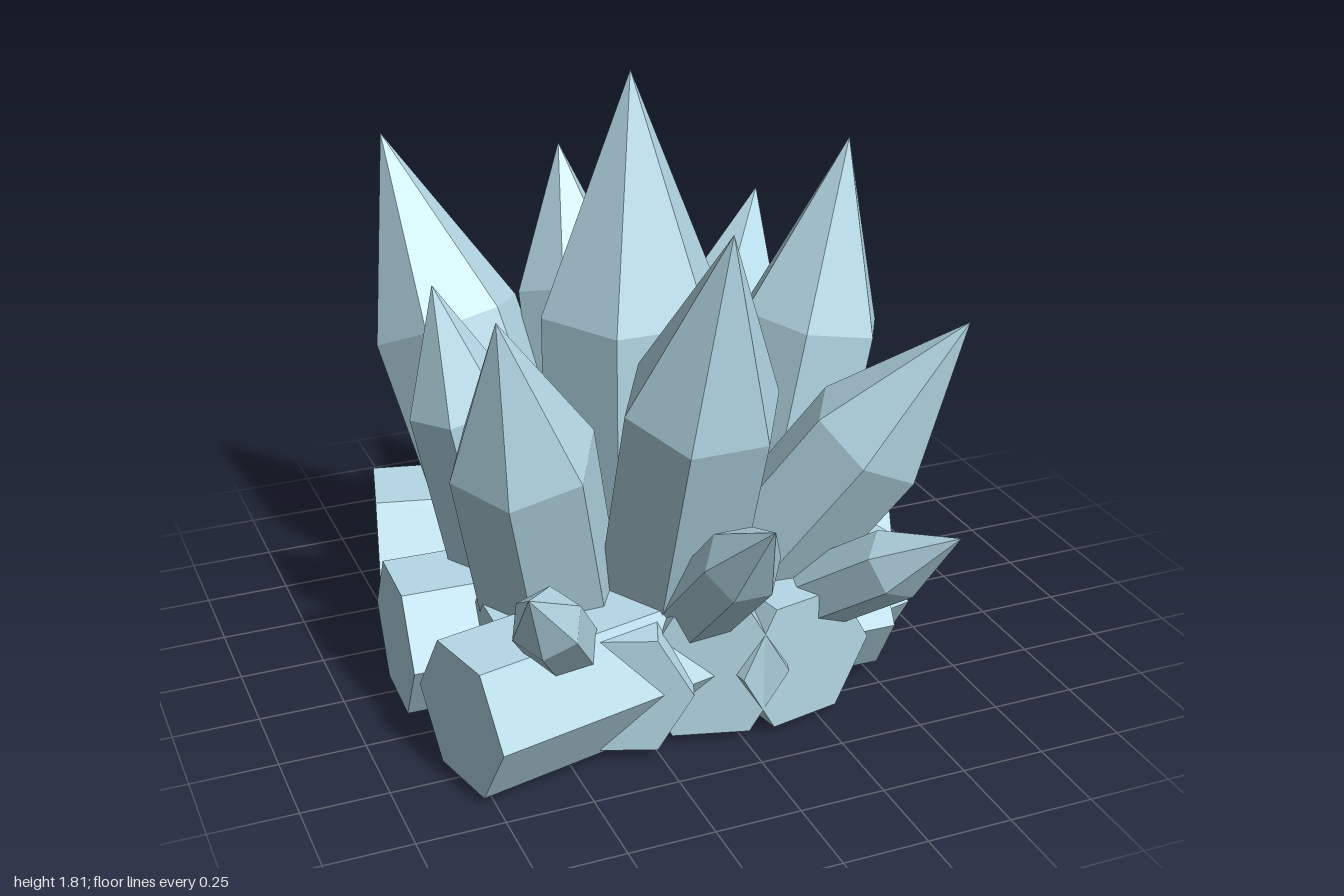
import * as THREE from 'three';

const UP = new THREE.Vector3(0, 1, 0);
const material = new THREE.MeshStandardMaterial({ color: 0xb4d8e5, flatShading: true });

// Six-sided crystal from a buried foot to its tip; point = length of the pointed end
function crystal(name, foot, tip, radius, point) {
  const start = new THREE.Vector3(...foot);
  const axis = new THREE.Vector3(...tip).sub(start);
  const length = axis.length();
  const profile = [[0, 0], [radius, 0], [radius, length - point], [0, length]]
    .map(([x, y]) => new THREE.Vector2(x, y));
  const geometry = new THREE.LatheGeometry(profile, 6).rotateY(Math.PI / 2);
  const mesh = new THREE.Mesh(geometry, material);
  mesh.name = name;
  mesh.position.copy(start);
  mesh.quaternion.setFromUnitVectors(UP, axis.normalize());
  return mesh;
}

// Hexagonal column lying flat between two floor points, flat faces up and down
function column(name, [x0, z0], [x1, z1], radius, y) {
  const length = Math.hypot(x1 - x0, z1 - z0);
  const geometry = new THREE.CylinderGeometry(radius, radius, length, 6)
    .rotateX(Math.PI / 2).rotateZ(Math.PI / 6);
  const mesh = new THREE.Mesh(geometry, material);
  mesh.name = name;
  mesh.position.set((x0 + x1) / 2, y, (z0 + z1) / 2);
  mesh.rotation.y = Math.atan2(x1 - x0, z1 - z0);
  return mesh;
}

export function createModel() {
  const model = new THREE.Group();
  model.name = 'crystalCluster';

  // Base: columns side to side, crossed by a fan of columns front to back
  const base = new THREE.Group();
  base.name = 'base';
  [
    ['backColumn', [-0.75, -0.5], [0.8, -0.13], 0.248, 0.216],
    ['middleColumn', [-0.85, 0.055], [0.62, 0.1], 0.222, 0.215],
    ['frontColumn', [-0.805, 0.545], [0.57, 0.22], 0.222, 0.215],
    ['shortColumn', [-0.65, 0.32], [0.52, 0.34], 0.205, 0.216],
    ['crossColumnCentre', [-0.09, 0.6], [0.22, -0.51], 0.22, 0.218],
    ['crossColumnRight', [0.2, 0.61], [-0.02, -0.47], 0.22, 0.214],
    ['crossColumnLeft', [-0.36, 0.6], [0.05, -0.48], 0.2, 0.212],
  ].forEach((c) => base.add(column(...c)));
  model.add(base);

  // Tall crystals: foot, tip, radius, point length
  const tall = new THREE.Group();
  tall.name = 'tallCrystals';
  [
    ['centreCrystal', [-0.095, 0.15, 0.017], [-0.095, 1.81, 0.017], 0.275, 0.69],
    ['frontCrystal', [-0.095, 0.2, 0.25], [-0.095, 1.56, 0.72], 0.225, 0.57],
    ['backCrystal', [-0.07, 0.2, -0.28], [-0.07, 1.41, -0.66], 0.185, 0.44],
    ['backLeftCrystal', [-0.32, 0.2, -0.26], [-0.61, 1.48, -0.74], 0.23, 0.6],
    ['leftCrystal', [-0.465, 0.2, 0.005], [-0.68, 1.26, 0.005], 0.158, 0.37],
    ['frontLeftCrystal', [-0.4, 0.2, 0.19], [-0.665, 1.34, 0.53], 0.208, 0.48],
    ['rightCrystal', [0.32, 0.2, 0.02], [0.59, 1.54, 0.01], 0.22, 0.55],
    ['frontRightCrystal', [0.12, 0.24, 0.23], [0.63, 1.2, 0.675], 0.188, 0.46],
    ['backRightCrystal', [0.17, 0.3, -0.19], [0.7, 1.11, -0.86], 0.18, 0.46],
  ].forEach((c) => tall.add(crystal(...c)));
  model.add(tall);

  // Small crystals around the rim
  const small = new THREE.Group();
  small.name = 'smallCrystals';
  [
    ['smallFrontCrystal', [-0.095, 0.33, 0.45], [-0.095, 0.86, 1], 0.11, 0.27],
    ['smallFrontLeftCrystal', [-0.46, 0.3, 0.47], [-0.7, 0.71, 0.84], 0.1, 0.24],
    ['smallFrontRightCrystal', [0.25, 0.3, 0.44], [0.507, 0.675, 0.9], 0.105, 0.25],
    ['smallBackRightCrystal', [0.53, 0.3, -0.2], [0.83, 0.615, -0.63], 0.1, 0.24],
    ['smallBackLeftCrystal', [-0.385, 0.28, -0.45], [-0.385, 0.66, -1], 0.105, 0.26],
  ].forEach((c) => small.add(crystal(...c)));
  model.add(small);

  return model;
}
